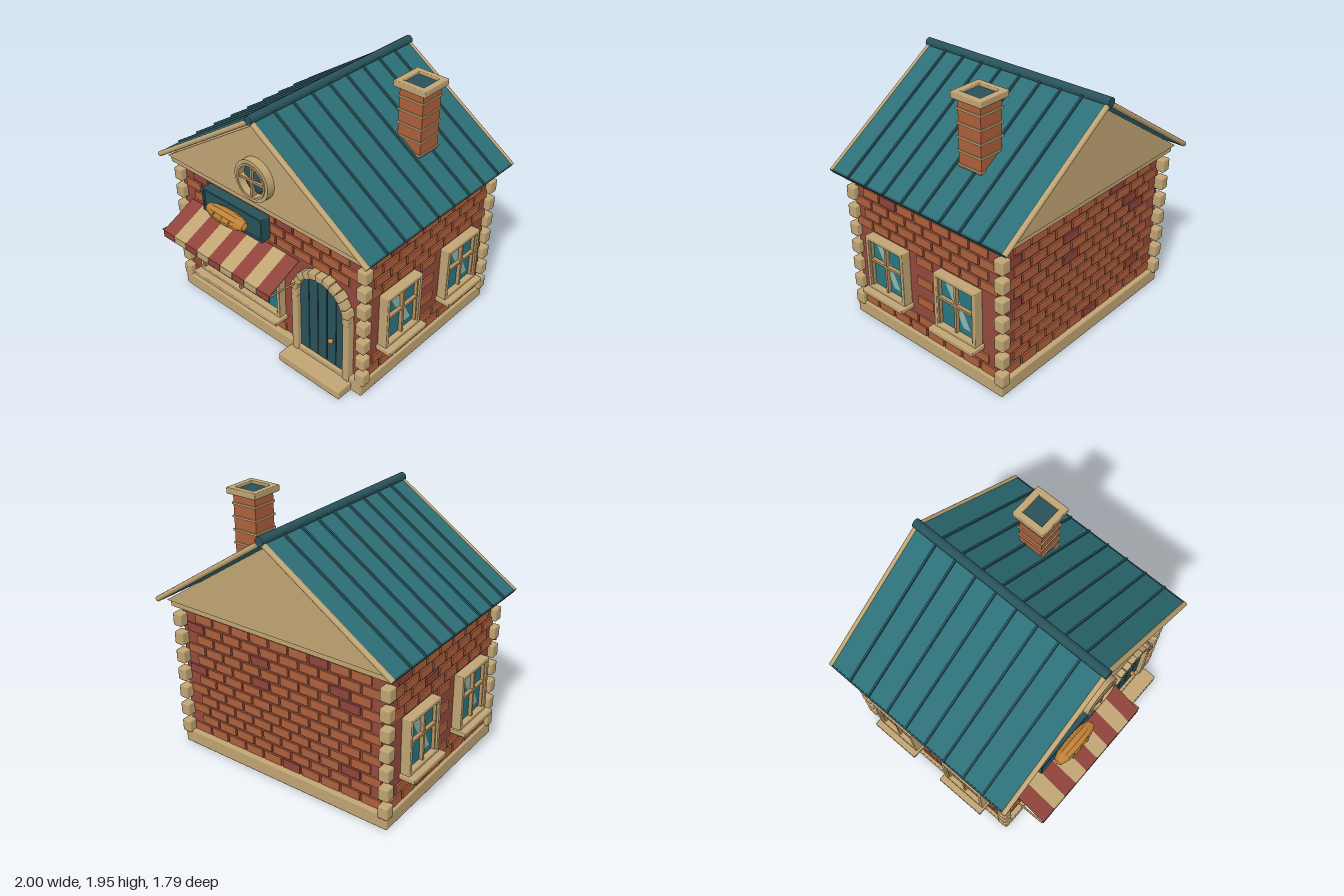
import * as THREE from 'three';
import { mergeGeometries } from 'three/addons/utils/BufferGeometryUtils.js';
import { RoundedBoxGeometry } from 'three/addons/geometries/RoundedBoxGeometry.js';

const mat = (name, color) => Object.assign(new THREE.MeshStandardMaterial({ color }), { name });

export function createModel() {
  const trim = mat('sandstone', 0xc0a473), wall = mat('mortar red', 0x93493c), brick = mat('brick', 0xae5f3c);
  const red = mat('dark red', 0x8f443a), roofTeal = mat('roof teal', 0x2c6e77), dark = mat('dark teal', 0x28525a);
  const glass = mat('glass', 0x297780), glare = mat('glare', 0x93b8ab), crust = mat('crust', 0xc08136);
  const wood = mat('window wood', 0xb58f5e);
  const house = new THREE.Group();
  house.name = 'bakery';
  const ZC = -0.075; // middle of the building in depth

  const add = (parent, name, geo, material, x = 0, y = 0, z = 0) => {
    const m = new THREE.Mesh(geo, material);
    m.name = name;
    m.position.set(x, y, z);
    parent.add(m);
    return m;
  };
  const group = (parent, name, x = 0, y = 0, z = 0) => {
    const g = new THREE.Group();
    g.name = name;
    g.position.set(x, y, z);
    parent.add(g);
    return g;
  };
  // box given by its limits, optionally with softened edges
  const span = (parent, name, material, [x0, x1], [y0, y1], [z0, z1], r = 0) => {
    const s = [x1 - x0, y1 - y0, z1 - z0];
    const geo = r ? new RoundedBoxGeometry(...s, 1, r) : new THREE.BoxGeometry(...s);
    return add(parent, name, geo, material, (x0 + x1) / 2, (y0 + y1) / 2, (z0 + z1) / 2);
  };
  const polygon = (pts) => new THREE.Shape(pts.map(([x, y]) => new THREE.Vector2(x, y)));
  const extrude = (shape, depth) => new THREE.ExtrudeGeometry(shape, { depth, bevelEnabled: false, curveSegments: 16 });
  const flat = (geo) => {
    const g = geo.toNonIndexed();
    g.computeVertexNormals();
    return g;
  };

  // Masonry shell
  span(house, 'foundation', trim, [-0.905, 0.905], [0, 0.11], [-0.79, 0.645], 0.01);
  span(house, 'walls', wall, [-0.875, 0.875], [0.1, 1.14], [-0.745, 0.595]);
  span(house, 'eavesBand', trim, [-0.925, 0.925], [1.13, 1.18], [-0.81, 0.655], 0.008);
  span(house, 'doorStep', trim, [0.245, 0.815], [0, 0.07], [0.6, 0.773], 0.01);
  for (const x of [-0.88, 0.88]) for (const z of [-0.77, 0.606]) for (let i = 0; i < 7; i++) {
    add(house, 'cornerStone', new RoundedBoxGeometry(0.08, 0.1, 0.08, 1, 0.012), trim, x, 1.03 - i * 0.148, z);
  }

  // Running-bond bricks on one wall; openings are [x0, x1, y0, y1] in wall coordinates
  let seed = 7;
  const random = () => (seed = (seed * 16807) % 2147483647) / 2147483647;
  const brickwork = (parent, count, openings) => {
    const sets = [[], []];
    for (let row = 0; row < 12; row++) {
      const n = count - ((row + 1) % 2), y = 1.062 - row * 0.083;
      for (let i = 0; i < n; i++) {
        const x = (i - (n - 1) / 2) * 0.168;
        if (openings.some(([a, b, c, d]) => x + 0.07 > a && x - 0.07 < b && y + 0.03 > c && y - 0.03 < d)) continue;
        sets[random() < 0.06 ? 1 : 0].push(new THREE.BoxGeometry(0.15, 0.066, 0.024).translate(x, y, 0));
      }
    }
    sets.forEach((s, i) => s.length && add(parent, i ? 'darkBricks' : 'bricks', mergeGeometries(s), i ? red : brick));
  };

  // Framed window with crossbars, sill and a diagonal glint
  const windowUnit = (parent, name, x, w, y0, y1, midY, depth, sillDepth, glint) => {
    const g = group(parent, name, x, 0, 0), h = w / 2, f = 0.03;
    for (const s of [-1, 1]) {
      span(g, 'frameSide', trim, s < 0 ? [-h, f - h] : [h - f, h], [y0, y1], [0, depth], 0.006);
      span(g, 'innerSide', wood, s < 0 ? [f - h, f - h + 0.01] : [h - f - 0.01, h - f], [y0 + f, y1 - f], [0, depth - 0.015]);
    }
    for (const y of [y0, y1 - f]) span(g, 'frameRail', trim, [-h, h], [y, y + f], [0, depth], 0.006);
    span(g, 'sill', trim, [-h - 0.017, h + 0.017], [y0 - 0.03, y0 + 0.006], [0, sillDepth], 0.006);
    span(g, 'pane', glass, [f - h, h - f], [y0 + f, y1 - f], [0, depth - 0.04]);
    add(g, 'glint', new THREE.ShapeGeometry(polygon(glint)), glare, 0, 0, depth - 0.037);
    span(g, 'uprightBar', wood, [-0.009, 0.009], [y0 + f, y1 - f], [0, depth - 0.012]);
    span(g, 'crossBar', wood, [f - h, h - f], [midY - 0.009, midY + 0.009], [0, depth - 0.012]);
  };

  for (const s of [-1, 1]) {
    const side = group(house, s > 0 ? 'leftWall' : 'rightWall', s * 0.875, 0, ZC);
    side.rotation.y = s * Math.PI / 2;
    brickwork(side, 8, [-1, 1].map((k) => [k * 0.335 - 0.2, k * 0.335 + 0.2, 0.3, 0.77]));
    for (const x of [-0.335, 0.335]) {
      windowUnit(side, 'sideWindow', x, 0.375, 0.33, 0.765, 0.575, 0.075, 0.123,
        [[-0.108, 0.7], [0.05, 0.41], [0.113, 0.41], [-0.03, 0.7]]);
    }
  }
  const back = group(house, 'backWall', 0, 0, -0.745);
  back.rotation.y = Math.PI;
  brickwork(back, 10, []);
  const front = group(house, 'frontWall', 0, 0, 0.595);
  brickwork(front, 10, [[-0.7, 0.165, 0.24, 0.8], [0.27, 0.79, 0, 0.86]]);
  windowUnit(front, 'shopWindow', -0.2675, 0.845, 0.265, 0.79, 0.55, 0.065, 0.125,
    [[-0.28, 0.72], [0.135, 0.365], [0.268, 0.365], [-0.13, 0.72]]);

  // Bread: faceted lathe laid along x
  const loaf = (parent, name, length, r, x, y, z, cuts) => {
    const g = group(parent, name, x, y, z);
    const profile = [[0, -1], [0.5, -0.93], [0.85, -0.62], [1, -0.2], [1, 0.2], [0.85, 0.62], [0.5, 0.93], [0, 1]]
      .map(([a, b]) => new THREE.Vector2(a * r, b * length / 2));
    add(g, 'crust', flat(new THREE.LatheGeometry(profile, 10).rotateZ(Math.PI / 2)), crust);
    for (let i = 0; i < cuts; i++) {
      const c = add(g, 'score', new THREE.BoxGeometry(r * 0.14, r * 0.8, r * 0.14), trim, (i - (cuts - 1) / 2) * length * 0.2, r * 0.2, r * 0.94);
      c.rotation.set(-0.2, 0, -0.45);
    }
  };
  for (const x of [-0.525, -0.295, -0.065]) loaf(house, 'windowBun', 0.13, 0.023, x, 0.395, 0.667, 3);

  // Hanging sign
  span(house, 'signBoard', dark, [-0.565, 0.035], [0.89, 1.08], [0.6, 0.672], 0.01);
  for (const y of [0.89, 1.065]) span(house, 'signRail', dark, [-0.565, 0.035], [y, y + 0.015], [0.66, 0.686]);
  for (const x of [-0.565, 0.02]) span(house, 'signStile', dark, [x, x + 0.015], [0.89, 1.08], [0.66, 0.686]);
  loaf(house, 'signLoaf', 0.39, 0.062, -0.265, 0.992, 0.73, 3);

  // Striped awning: sloping cloth, hanging flaps and end arms
  const pitch = 1.09 / 9, drop = 0.13, reach = 0.285;
  for (let i = 0; i < 9; i++) {
    const x = -0.785 + pitch * (i + 0.5), m = i % 2 ? trim : red;
    const cloth = add(house, 'awningStripe', new THREE.BoxGeometry(pitch, 0.004, Math.hypot(drop, reach)), m, x, 0.772, 0.6 + reach / 2 + 0.005);
    cloth.rotation.x = Math.atan2(drop, reach);
    span(house, 'awningFlap', m, [x - pitch / 2 + 0.002, x + pitch / 2 - 0.002], [0.655, 0.71], [0.887, 0.897]);
  }
  for (const x of [-0.793, 0.313]) {
    const arm = add(house, 'awningArm', new THREE.CylinderGeometry(0.007, 0.007, 0.3, 8), wood, x, 0.693, 0.745);
    arm.rotation.x = Math.PI / 2 - 0.12;
  }

  // Arched door: planks cut to the arch, stone jambs and wedge stones
  const door = group(house, 'door', 0.5325, 0, 0.595), R = 0.207, spring = 0.6;
  const archTop = (x) => spring + Math.sqrt(Math.max(0, R * R - x * x));
  const plank = (x0, x1) => {
    const pts = [[x0, 0.07], [x1, 0.07]];
    for (let i = 0; i <= 8; i++) { const x = x1 + (x0 - x1) * i / 8; pts.push([x, archTop(x)]); }
    return polygon(pts);
  };
  add(door, 'doorBacking', extrude(plank(-R, R), 0.014), dark);
  for (let i = 0; i < 5; i++) {
    const x = -R + i * R * 0.4;
    add(door, 'doorPlank', extrude(plank(x + 0.003, x + R * 0.4 - 0.003), 0.028), dark);
  }
  add(door, 'doorKnob', new THREE.SphereGeometry(0.02, 12, 10), crust, 0.092, 0.335, 0.048);
  for (const s of [-1, 1]) span(door, 'doorJamb', trim, s < 0 ? [-0.262, -R] : [R, 0.262], [0.07, spring], [0, 0.062], 0.008);
  for (let i = 0; i < 13; i++) {
    const a = Math.PI * i / 12, r = 0.234 + (i % 2 ? 0.005 : -0.003);
    const stone = add(door, 'archStone', new RoundedBoxGeometry(0.056, 0.062, 0.066 + (i % 2) * 0.008, 1, 0.008), trim,
      Math.cos(a) * r, spring + Math.sin(a) * r, 0.034);
    stone.rotation.z = a;
  }

  // Gable block with a round window
  add(house, 'gable', extrude(polygon([[-0.945, 1.178], [0.945, 1.178], [0, 1.8]]), 1.49), trim, 0, 0, -0.825);
  const round = group(house, 'roundWindow', 0, 1.4, 0.665);
  const ring = (outer, inner, depth) => {
    const s = new THREE.Shape().absarc(0, 0, outer, 0, Math.PI * 2);
    s.holes.push(new THREE.Path().absarc(0, 0, inner, 0, Math.PI * 2, true));
    return new THREE.ExtrudeGeometry(s, { depth, bevelEnabled: false, curveSegments: 20 });
  };
  add(round, 'outerRing', ring(0.155, 0.118, 0.06), trim);
  add(round, 'innerRing', ring(0.13, 0.115, 0.068), trim);
  add(round, 'roundPane', new THREE.SphereGeometry(0.117, 24, 12).scale(1, 1, 0.4), dark);
  span(round, 'uprightBar', wood, [-0.009, 0.009], [-0.118, 0.118], [0, 0.06]);
  span(round, 'crossBar', wood, [-0.118, 0.118], [-0.009, 0.009], [0, 0.06]);

  // Roof slopes with standing seams and round edge trims
  const run = 0.975, rise = 0.645, slope = Math.hypot(run, rise), zr = -0.085, len = 1.62;
  for (const s of [-1, 1]) {
    const half = group(house, 'roofSlope', s * run / 2, 1.84 - rise / 2, 0);
    half.rotation.z = -s * Math.atan2(rise, run);
    add(half, 'roofSheet', new THREE.BoxGeometry(slope, 0.028, len - 0.03), roofTeal, 0, 0, zr);
    for (let i = 0; i < 8; i++) {
      add(half, 'roofSeam', new THREE.BoxGeometry(slope, 0.018, 0.014), dark, 0, 0.02, 0.522 - i * 0.173);
    }
    add(half, 'eaveEdge', new THREE.BoxGeometry(0.012, 0.034, len - 0.03), dark, s * slope / 2, 0, zr);
    for (const z of [0.705, -0.875]) {
      add(half, 'edgeTrim', new THREE.CylinderGeometry(0.019, 0.019, slope + 0.01, 12).rotateZ(Math.PI / 2), trim, 0, 0.002, z);
    }
  }
  add(house, 'ridgeRoll', new THREE.CylinderGeometry(0.033, 0.033, len, 16).rotateX(Math.PI / 2), dark, 0, 1.852, zr);

  // Chimney with mortar bands, bricks and an open cap
  const chimney = group(house, 'chimney', 0.56, 0, -0.3);
  span(chimney, 'chimneyStack', brick, [-0.097, 0.097], [1.38, 1.905], [-0.097, 0.097]);
  for (let i = 0; i < 5; i++) {
    const y = 1.83 - i * 0.097;
    span(chimney, 'chimneyBand', trim, [-0.105, 0.105], [y - 0.007, y + 0.007], [-0.105, 0.105]);
  }
  for (const s of [-1, 1]) {
    span(chimney, 'capSide', trim, s < 0 ? [-0.13, -0.083] : [0.083, 0.13], [1.898, 1.945], [-0.13, 0.13], 0.006);
    span(chimney, 'capEnd', trim, [-0.13, 0.13], [1.898, 1.945], s < 0 ? [-0.13, -0.083] : [0.083, 0.13], 0.006);
  }
  span(chimney, 'flue', dark, [-0.085, 0.085], [1.9, 1.925], [-0.085, 0.085]);

  return house;
}
